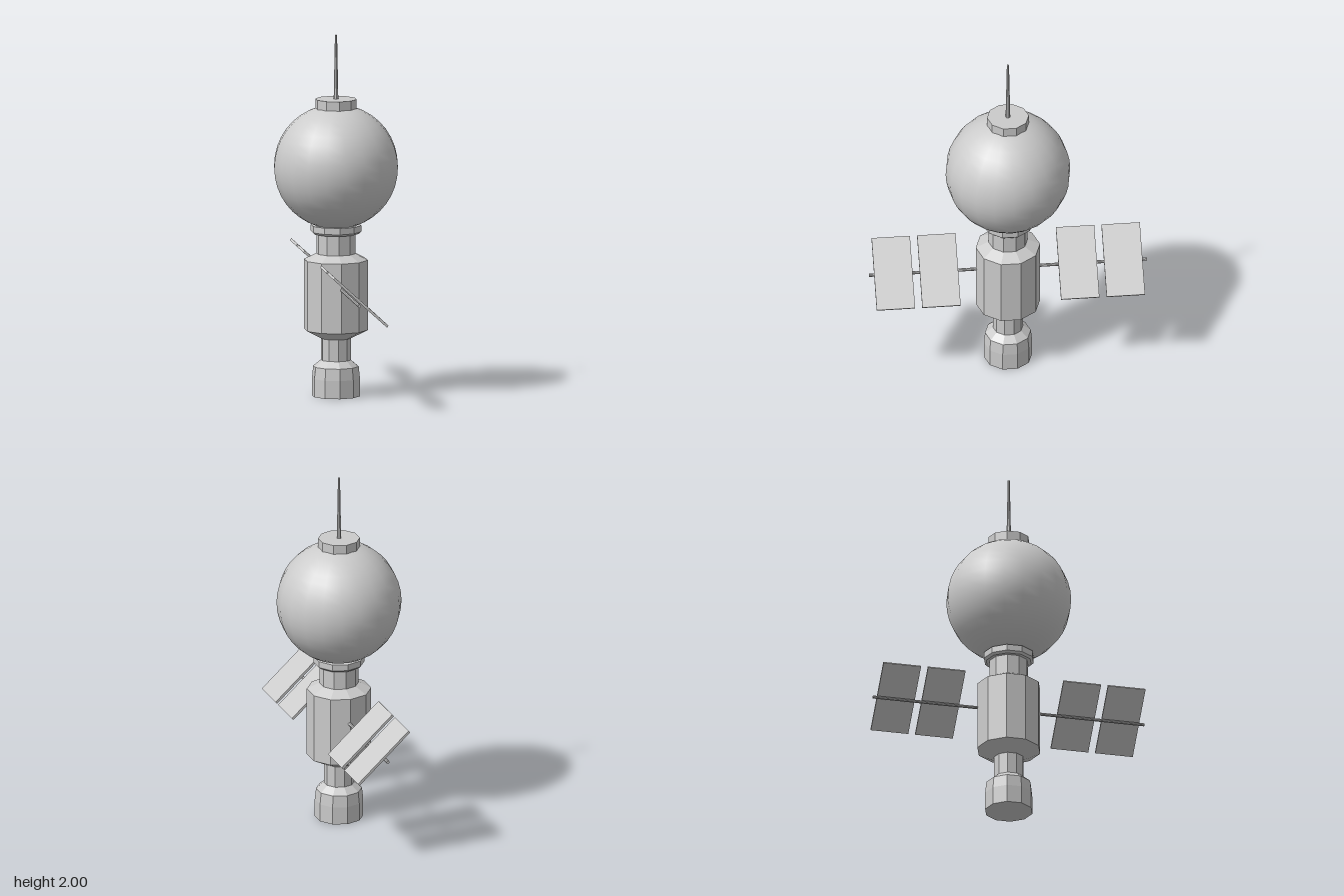
import * as THREE from 'three';

const SIDES = 10;
const flat = new THREE.MeshStandardMaterial({ color: 0xcccccc, flatShading: true });
const smooth = new THREE.MeshStandardMaterial({ color: 0xcccccc });

function add(parent, name, geometry, material = flat) {
  const mesh = new THREE.Mesh(geometry, material);
  mesh.name = name;
  parent.add(mesh);
  return mesh;
}

// Ten-sided turned part from [radius, height] pairs, bottom to top
function turned(parent, name, profile) {
  const points = profile.map(([r, y]) => new THREE.Vector2(r, y));
  return add(parent, name, new THREE.LatheGeometry(points, SIDES));
}

export function createModel() {
  const model = new THREE.Group();
  model.name = 'spaceStation';

  // Engine, neck and main hull, from the ground up
  turned(model, 'engine', [[0, 0], [0.133, 0], [0.133, 0.1], [0.126, 0.165], [0.083, 0.2]]);
  turned(model, 'lowerNeck', [[0.083, 0.2], [0.083, 0.32]]);
  turned(model, 'hull', [[0.083, 0.32], [0.177, 0.368], [0.177, 0.755], [0.108, 0.79]]);
  turned(model, 'upperNeck', [[0.108, 0.79], [0.108, 0.9]]);
  turned(model, 'collar', [[0.108, 0.9], [0.127, 0.9], [0.14, 0.912], [0.14, 0.947], [0, 0.947]]);

  // Large sphere with cap and tapered antenna
  const sphere = add(model, 'sphere', new THREE.SphereGeometry(0.343, 20, 20), smooth);
  sphere.position.y = 1.27;
  turned(model, 'cap', [[0, 1.59], [0.115, 1.59], [0.115, 1.645], [0, 1.645]]);
  const antenna = add(model, 'antenna', new THREE.CylinderGeometry(0.006, 0.013, 0.36, 8));
  antenna.position.y = 1.82;

  // Solar array: one rod through the hull, panels mounted on its upper side
  const array = new THREE.Group();
  array.name = 'solarArray';
  array.position.set(0.004, 0.61, 0);
  array.rotation.z = THREE.MathUtils.degToRad(-42.5);
  model.add(array);

  const rod = add(array, 'rod', new THREE.CylinderGeometry(0.009, 0.009, 1.53, 8));
  rod.rotation.x = Math.PI / 2;

  for (const side of [1, -1]) {
    for (const z of [0.382, 0.633]) {
      const panel = add(array, 'solarPanel', new THREE.BoxGeometry(0.403, 0.014, 0.211));
      panel.position.set(0, 0.02, side * z);
    }
  }
  return model;
}
